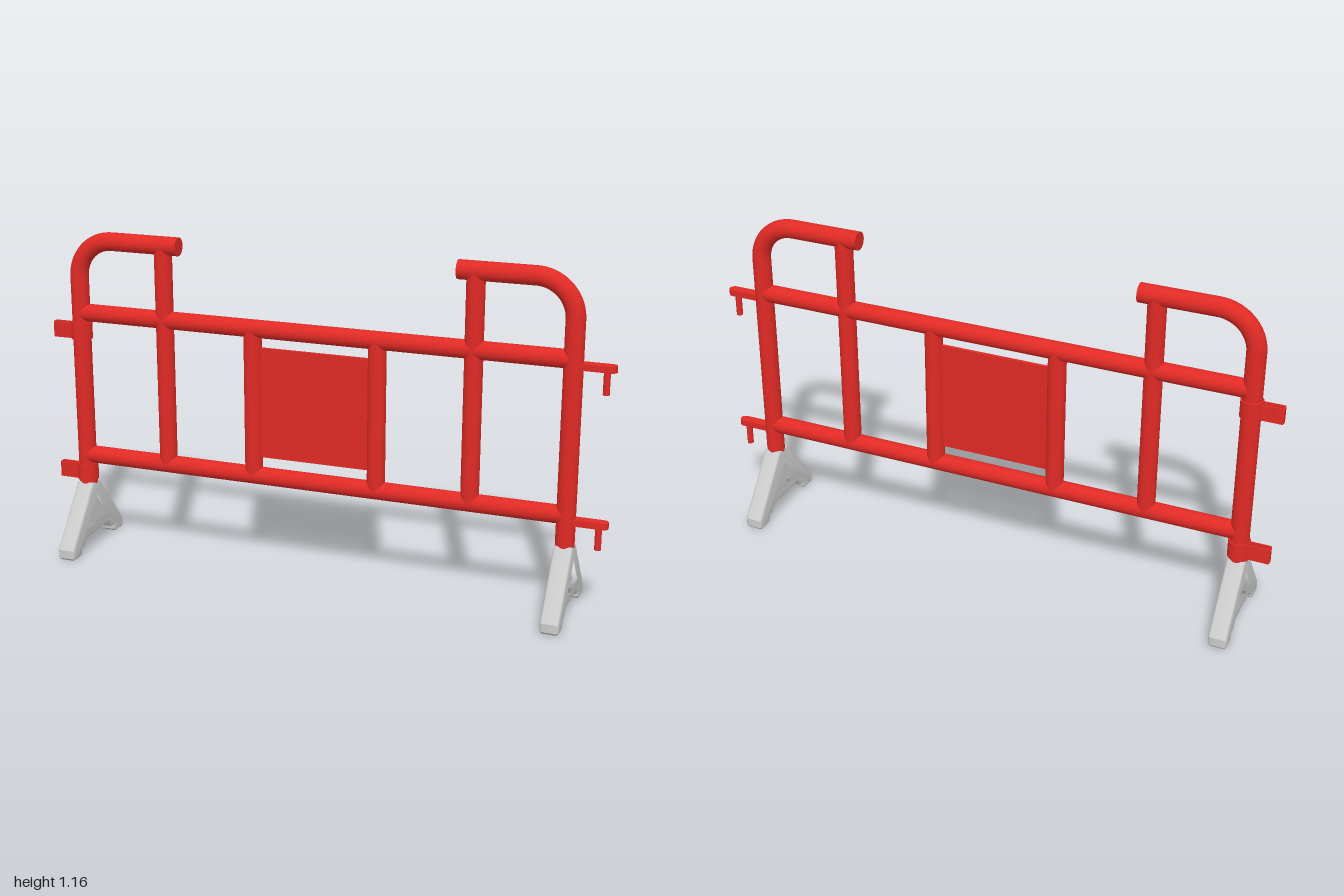
import * as THREE from 'three';
import { toCreasedNormals } from 'three/addons/utils/BufferGeometryUtils.js';

const RED = new THREE.MeshStandardMaterial({ color: 0xe02a25 });
const GREY = new THREE.MeshStandardMaterial({ color: 0xcccccc });

const MID = -0.0165;       // centre of the frame between the two posts
const HALF = 0.8765;       // post distance from that centre
const R = 0.032;           // tube radius
const BEND = 0.13;         // radius of the top corners
const ARM_Y = 1.135;
const RAILS = [0.875, 0.35];

function add(parent, name, geometry, material = RED) {
  const mesh = new THREE.Mesh(geometry, material);
  mesh.name = name;
  parent.add(mesh);
  return mesh;
}

function bar(parent, name, x0, y0, x1, y1, r = R) {
  const dx = x1 - x0, dy = y1 - y0;
  const mesh = add(parent, name, new THREE.CylinderGeometry(r, r, Math.hypot(dx, dy), 32));
  mesh.position.set((x0 + x1) / 2, (y0 + y1) / 2, 0);
  mesh.rotation.z = Math.atan2(dy, dx) - Math.PI / 2;
  return mesh;
}

// Flat outline in x and z, extruded upwards from y = 0
function slab(shape, height) {
  const g = new THREE.ExtrudeGeometry(shape, { depth: height, bevelEnabled: false, curveSegments: 12 });
  return toCreasedNormals(g.rotateX(-Math.PI / 2), 0.6);
}

// Post, rounded corner and short top arm; side is -1 or 1
function sideFrame(side) {
  const group = new THREE.Group();
  group.name = side > 0 ? 'leftSideFrame' : 'rightSideFrame';
  const x = MID + side * HALF;
  const bendX = x - side * BEND;
  bar(group, 'post', x, 0.205, x, ARM_Y - BEND);
  const corner = add(group, 'corner', new THREE.TorusGeometry(BEND, R, 32, 20, Math.PI / 2));
  corner.position.set(bendX, ARM_Y - BEND, 0);
  if (side < 0) corner.rotation.z = Math.PI / 2;
  bar(group, 'topArm', bendX, ARM_Y, MID + side * 0.4915, ARM_Y);
  const ux = MID + side * 0.551;
  bar(group, 'outerUpright', ux, RAILS[1], ux, ARM_Y, 0.031);
  return group;
}

// A-shaped foot with a recessed web
function foot(x) {
  const group = new THREE.Group();
  group.name = 'foot';
  const half = [[0.028, 0.248], [0.19, 0.042], [0.19, 0.012], [0.183, 0.004], [0.134, 0.004],
    [0.126, 0.012], [0.124, 0.03], [0.106, 0.03], [0.086, 0.057]];
  const outline = [...half, ...half.map(([z, y]) => [-z, y]).reverse()];
  const shape = new THREE.Shape(outline.map(([z, y]) => new THREE.Vector2(z, y)));
  const opening = [[0, 0.208], [0.094, 0.09], [-0.094, 0.09]].map(([z, y]) => new THREE.Vector2(z, y));
  shape.holes.push(new THREE.Path(opening));
  const bevel = 0.01, width = 0.064;
  const g = new THREE.ExtrudeGeometry(shape, {
    depth: width - 2 * bevel, bevelThickness: bevel, bevelSize: bevel, bevelOffset: -bevel, bevelSegments: 3,
  });
  g.translate(0, 0, bevel - width / 2).rotateY(Math.PI / 2);
  add(group, 'footFrame', toCreasedNormals(g, 0.6), GREY);
  const web = new THREE.ExtrudeGeometry(
    new THREE.Shape([[0, 0.22], [0.105, 0.085], [-0.105, 0.085]].map(([z, y]) => new THREE.Vector2(z, y))),
    { depth: 0.02, bevelEnabled: false });
  add(group, 'footWeb', web.translate(0, 0, -0.01).rotateY(Math.PI / 2), GREY);
  group.position.x = x;
  return group;
}

// Arm with a rounded tip and a hanging pin
function hook(railY) {
  const group = new THREE.Group();
  group.name = 'hook';
  const w = 0.018;
  const shape = new THREE.Shape();
  shape.moveTo(0.86, -w);
  shape.lineTo(1 - w, -w);
  shape.absarc(1 - w, 0, w, -Math.PI / 2, Math.PI / 2);
  shape.lineTo(0.86, w);
  add(group, 'hookArm', slab(shape, 0.022)).position.y = railY - 0.03;
  bar(group, 'hookPin', 0.968, railY - 0.106, 0.968, railY - 0.02, 0.011);
  return group;
}

// Collar round the post with an open loop that receives a hook pin
function socket(railY) {
  const group = new THREE.Group();
  group.name = 'socket';
  const x = MID - HALF, y = railY - 0.095;
  const collar = add(group, 'collar', new THREE.CylinderGeometry(0.037, 0.037, 0.061, 32));
  collar.position.set(x, y + 0.0305, 0);
  const loop = (Path, tip, w, c) => {
    const p = new Path();
    p.moveTo(-0.92, -w);
    p.lineTo(-0.92, w);
    p.lineTo(tip + c, w);
    p.quadraticCurveTo(tip, w, tip, w - c);
    p.lineTo(tip, c - w);
    p.quadraticCurveTo(tip, -w, tip + c, -w);
    p.closePath();
    return p;
  };
  const shape = loop(THREE.Shape, -1, 0.014, 0.007);
  shape.holes.push(loop(THREE.Path, -0.995, 0.009, 0.004));
  add(group, 'socketLoop', slab(shape, 0.055)).position.y = y;
  return group;
}

export function createModel() {
  const model = new THREE.Group();
  model.name = 'crowdBarrier';

  for (const side of [-1, 1]) {
    model.add(sideFrame(side), foot(MID + side * HALF));
    const ux = MID + side * 0.223;
    bar(model, 'innerUpright', ux, RAILS[1], ux, RAILS[0], 0.031);
  }

  for (const y of RAILS) {
    bar(model, 'rail', MID - HALF, y, MID + HALF, y, 0.031);
    model.add(hook(y), socket(y));
  }

  // Sign plate between the inner uprights
  add(model, 'plate', new THREE.BoxGeometry(0.42, 0.39, 0.012)).position.set(MID, 0.615, 0);
  return model;
}
